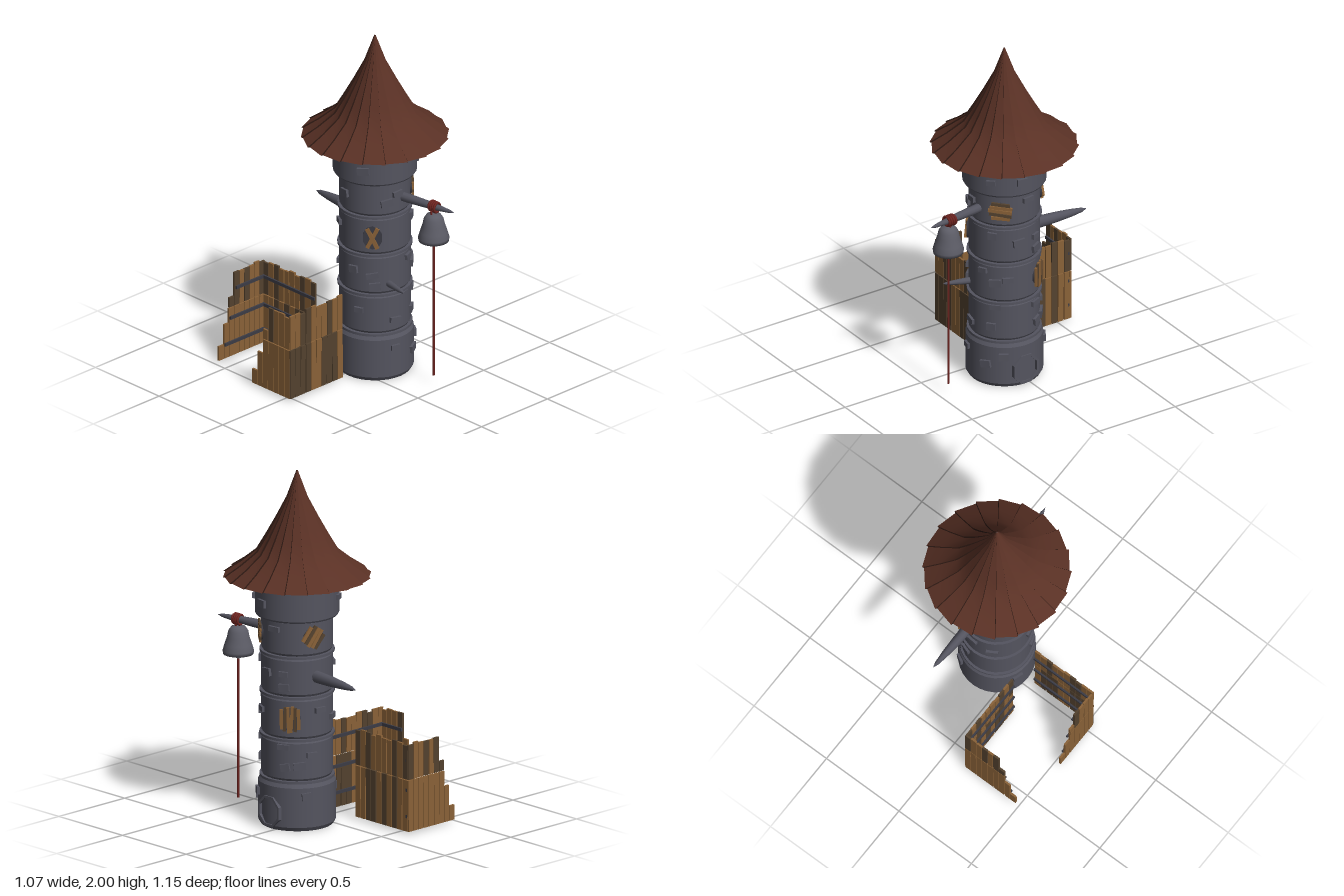
import * as THREE from 'three';

const mat = (name, color, side = THREE.FrontSide) => {
  const m = new THREE.MeshStandardMaterial({ color, side });
  m.name = name;
  return m;
};

export function createModel() {
  const stone = mat('stone', 0x54545f);
  const darkStone = mat('dark stone', 0x3c3c45);
  const roofBrown = mat('roof brown', 0x5a3125, THREE.DoubleSide);
  const roofDark = mat('roof seam', 0x2c1812, THREE.DoubleSide);
  const wood = mat('wood', 0x8a6238);
  const oldWood = mat('weathered wood', 0x54422f);
  const red = mat('red rope', 0x6e2420);
  stone.flatShading = false;

  const model = new THREE.Group();
  const tower = new THREE.Group();
  tower.name = 'tower';
  tower.position.set(0.123, 0, 0.035);
  model.add(tower);

  let seed = 7;
  const rand = () => (seed = (seed * 16807) % 2147483647) / 2147483647;
  const add = (parent, name, geo, material, x = 0, y = 0, z = 0) => {
    const m = new THREE.Mesh(geo, material);
    m.name = name;
    m.position.set(x, y, z);
    parent.add(m);
    return m;
  };
  const drum = (name, y0, y1, r0, r1 = r0) =>
    add(tower, name, new THREE.CylinderGeometry(r1, r0, y1 - y0, 32), stone, 0, (y0 + y1) / 2);
  // group on the tower wall facing outward; 0 is front, 90 is +x
  const onWall = (name, deg, y, r) => {
    const a = deg * Math.PI / 180, g = new THREE.Group();
    g.name = name;
    g.position.set(Math.sin(a) * r, y, Math.cos(a) * r);
    g.rotation.y = a;
    tower.add(g);
    return g;
  };

  // Stacked drums with bevelled ends and thin rings
  const section = (name, y0, y1, r, bevel = 0.015) => {
    drum(name, y0 + bevel, y1 - bevel, r);
    drum(name + 'LowerBevel', y0, y0 + bevel, r - bevel * 0.6, r);
    drum(name + 'UpperBevel', y1 - bevel, y1, r, r - bevel * 0.6);
  };
  section('base', 0, 0.268, 0.213, 0.022);
  [0.275, 0.515, 0.755, 0.985].forEach((y, i, ys) => {
    drum('ring', y - 0.007, y + 0.007, 0.206);
    section('shaft', y + 0.005, (ys[i + 1] ?? 1.2) - 0.005, 0.196);
  });
  section('upperDrum', 1.19, 1.42, 0.231, 0.01);

  // Loose bricks: angle, height, roll
  [[-13, .196, 0], [28, .138, .15], [-10, .355, -.1], [35, .366, .05], [42, .49, 0], [42, .64, .1],
    [20, .705, .1], [-44, .57, .1], [-48, .635, .2], [37, .93, 0], [-6, 1.115, .1], [-25, 1.07, .15],
    [38, 1.28, .1], [81, 1.28, 0], [114, .475, 0], [117, .36, .2], [62, .66, 0], [80, .885, .1],
    [114, .89, 0], [115, .815, .1], [97, 1.14, 0], [150, .2, .1], [160, .43, 0], [140, .37, .1],
    [-70, .42, 0], [-110, .19, .1], [-150, .62, 0], [-80, .66, .1], [-120, .9, 0], [-60, 1.28, .1],
    [-150, 1.3, 0], [-100, 1.1, .1], [175, .68, 0], [55, .19, 0]].forEach(([deg, y, roll], i) => {
    const r = y > 1.19 ? 0.231 : y < 0.27 ? 0.213 : 0.196;
    const g = onWall('brick', deg, y, r);
    add(g, 'brickBlock', new THREE.BoxGeometry(0.052 + (i % 3) * 0.008, 0.03 + (i % 2) * 0.012, 0.026),
      stone).rotation.z = roll;
  });

  // Octagonal arch around the low opening
  const octagon = (C, r) => {
    const s = new C();
    for (let i = 0; i < 8; i++) {
      const a = (i + 0.5) * Math.PI / 4;
      s[i ? 'lineTo' : 'moveTo'](Math.cos(a) * r, Math.sin(a) * r * 1.06);
    }
    s.closePath();
    return s;
  };
  const arch = octagon(THREE.Shape, 0.087);
  arch.holes.push(octagon(THREE.Path, 0.073));
  add(onWall('doorway', 90, 0.1, 0.185), 'doorFrame',
    new THREE.ExtrudeGeometry(arch, { depth: 0.034, bevelEnabled: false }), stone);

  // Boarded windows
  const boards = (deg, y, w, h, roll, count) => {
    const g = onWall('boardedWindow', deg, y, 0.186);
    const back = add(g, 'windowRecess', new THREE.CylinderGeometry(0.5, 0.5, 0.02, 10), darkStone, 0, 0, 0.005);
    back.rotation.x = Math.PI / 2;
    back.scale.set(w, 1, h);
    const set = new THREE.Group();
    set.name = 'windowBoards';
    set.rotation.z = roll;
    g.add(set);
    const across = Math.abs(Math.sin(roll)) > 0.7 ? h : w, along = across === h ? w : h;
    for (let i = 0; i < count; i++) {
      const u = (i + 0.5) / count - 0.5;
      const len = along * (1.1 - 1.5 * u * u);
      add(set, 'board', new THREE.BoxGeometry(across / count * 0.86, len, 0.012), i % 3 === 1 ? oldWood : wood,
        u * across, (rand() - 0.5) * 0.01, 0.018).rotation.z = (rand() - 0.5) * 0.12;
    }
    return g;
  };
  boards(50, 1.09, 0.12, 0.105, Math.PI / 2 - 0.1, 5);
  boards(125, 0.635, 0.115, 0.135, 0, 6);
  boards(162, 1.1, 0.11, 0.11, -0.6, 5);
  const crossed = boards(-48, 0.865, 0.11, 0.14, 0, 0);
  [-0.45, 0.45].forEach((roll, i) =>
    add(crossed, 'crossBoard', new THREE.BoxGeometry(0.022, 0.13, 0.012), wood, 0, 0, 0.018 + i * 0.008).rotation.z = roll);

  // Stone horns
  const horn = (name, from, to, r, flat = 1) => {
    const a = new THREE.Vector3(...from), d = new THREE.Vector3(...to).sub(a), len = d.length();
    const pts = [[1, 0], [0.97, .25], [0.85, .5], [0.62, .75], [0.36, .92], [0, 1]]
      .map(([k, t]) => new THREE.Vector2(k * r, t * len));
    const m = add(model, name, new THREE.LatheGeometry(pts, 10), stone, ...from);
    m.quaternion.setFromUnitVectors(new THREE.Vector3(0, 1, 0), d.normalize());
    m.scale.x = flat;
  };
  horn('backHorn', [0.155, 0.872, -0.08], [0.17, 0.865, -0.475], 0.036, 0.85);
  horn('bellHorn', [0.145, 1.075, 0.16], [0.205, 1.08, 0.575], 0.027);
  horn('smallHorn', [0.065, 0.575, 0.18], [0.02, 0.585, 0.37], 0.02);

  // Bell with lashing, clapper and pull rope
  const bell = new THREE.Group();
  bell.name = 'bell';
  bell.position.set(0.178, 0, 0.44);
  model.add(bell);
  const bellMat = mat('bell grey', 0x5c5c66, THREE.DoubleSide);
  add(bell, 'bellBody', new THREE.LatheGeometry([[0.068, .885], [0.084, .88], [0.086, .9], [0.076, .935],
    [0.062, .975], [0.055, 1.01], [0.04, 1.033], [0.015, 1.042], [0, 1.043]]
    .map(p => new THREE.Vector2(...p)), 24), bellMat);
  for (let i = 0; i < 4; i++) {
    const loop = add(bell, 'lashing', new THREE.TorusGeometry(0.027, 0.007, 6, 14), red, 0.008, 1.078, -0.025 + i * 0.014);
    loop.rotation.set(0, 0.14, i);
  }
  add(bell, 'hanger', new THREE.TorusGeometry(0.02, 0.006, 6, 12), red, 0, 1.05, 0);
  add(bell, 'clapper', new THREE.CylinderGeometry(0.01, 0.014, 0.06, 10), bellMat, 0, 0.885);
  add(bell, 'pullRope', new THREE.CylinderGeometry(0.006, 0.006, 0.83, 6), red, 0, 0.473);

  // Roof: 20 overlapping panels, one edge of each raised above its neighbour
  const profile = [[0.398, 1.405], [0.31, 1.465], [0.218, 1.54], [0.165, 1.63], [0.113, 1.73], [0.055, 1.85], [0.004, 2]];
  const N = 20;
  const panelGeo = (i, seam) => {
    const pos = [], idx = [];
    const at = (a, [r, y], lift) => pos.push(-Math.cos(a) * (r + lift), y, Math.sin(a) * (r + lift));
    const a0 = i * 2 * Math.PI / N, a1 = (i + 1) * 2 * Math.PI / N;
    profile.forEach((p, j) => {
      const lift = 0.011 * Math.min(1, p[0] * 6);
      at(seam ? a1 + 0.012 : a0, p, seam ? -0.002 : 0);
      at(a1, p, lift);
      if (j) {
        const k = j * 2;
        idx.push(k - 2, k - 1, k, k - 1, k + 1, k);
      }
    });
    const g = new THREE.BufferGeometry();
    g.setAttribute('position', new THREE.Float32BufferAttribute(pos, 3));
    g.setIndex(idx);
    g.computeVertexNormals();
    return g;
  };
  for (let i = 0; i < N; i++) {
    add(tower, 'roofPanel', panelGeo(i, false), roofBrown);
    add(tower, 'roofSeam', panelGeo(i, true), roofDark);
  }
  const soffit = add(tower, 'roofUnderside', new THREE.CircleGeometry(0.392, N), roofBrown, 0, 1.408);
  soffit.rotation.x = Math.PI / 2;

  // Plank fence runs; the first planks are broken short where asked
  const fence = (x, z, dx, dz, length, inward, broken) => {
    const g = new THREE.Group();
    g.name = 'fence';
    g.position.set(x, 0, z);
    g.rotation.y = Math.atan2(-dz, dx);
    model.add(g);
    const n = Math.round(length / 0.041), pitch = length / n;
    for (let i = 0; i < n; i++) {
      const top = broken && i < 3 ? [0.1, 0.22, 0.37][i] : 0.5 + rand() * 0.02;
      [[0.015, 0.306], [0.312, 0.52]].forEach(([lo, hi]) => {
        const end = Math.min(hi, top);
        if (end <= lo) return;
        const w = pitch * (0.84 + rand() * 0.12);
        add(g, 'plank', new THREE.BoxGeometry(w, end - lo, 0.012), rand() < 0.27 ? oldWood : wood,
          (i + 0.5) * pitch, (lo + end) / 2, 0).rotation.z = (rand() - 0.5) * 0.025;
      });
    }
    [0.1, 0.25, 0.42].forEach((y, i) => {
      const skip = broken ? [0.04, 0.08, 0.125][i] : 0;
      add(g, 'rail', new THREE.BoxGeometry(length - skip, 0.018, 0.01), darkStone, (length + skip) / 2, y, inward * 0.012);
    });
  };
  fence(-0.48, -0.573, 1, 0, 0.35, 1, true);
  fence(-0.136, -0.57, 0, 1, 0.41, 1, false);
  fence(-0.53, -0.25, 0, 1, 0.295, -1, true);
  fence(-0.535, 0.044, 1, 0, 0.4, -1, false);

  return model;
}
